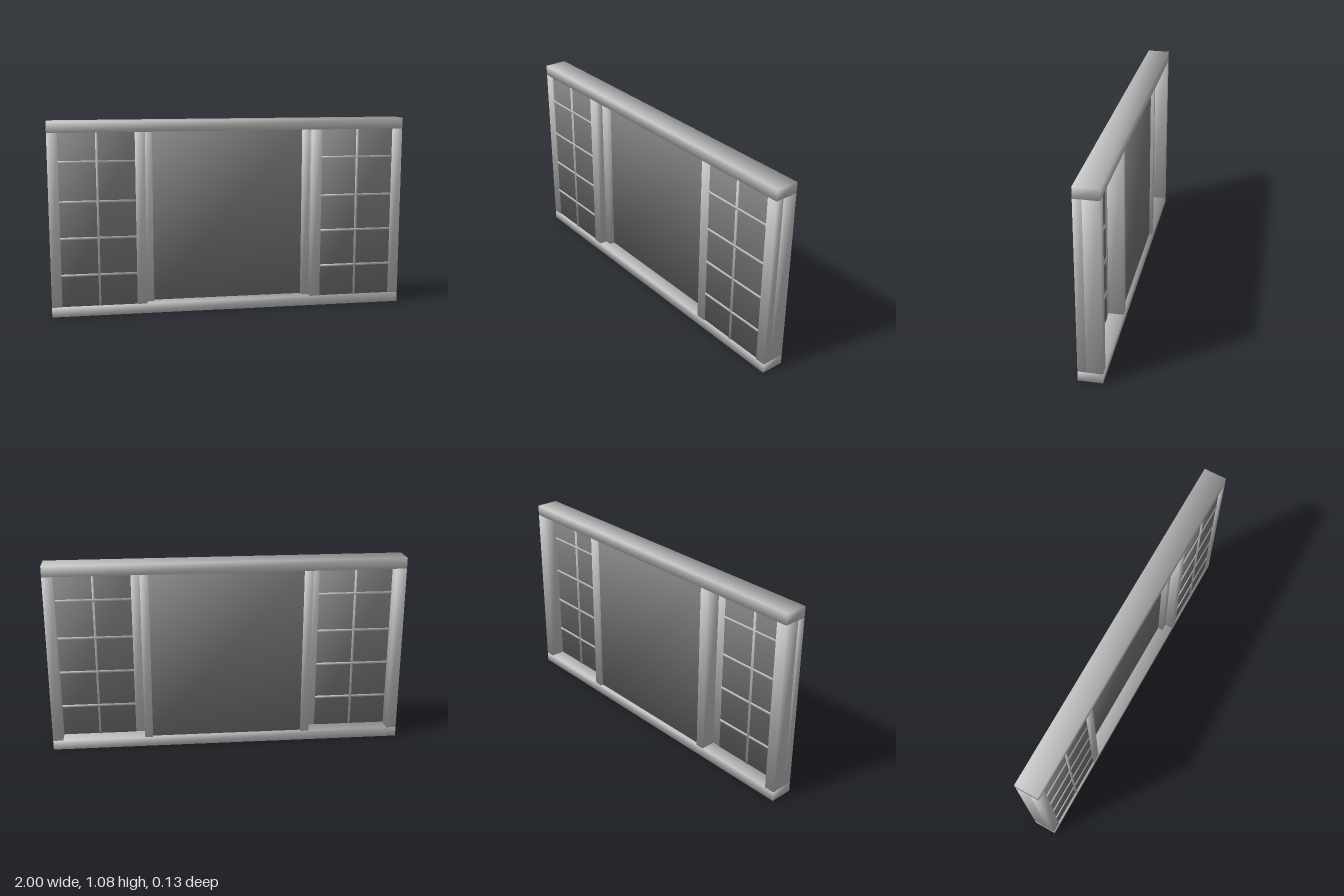
import * as THREE from 'three';

const frameMat = new THREE.MeshStandardMaterial({ color: 0xcccccc });
const glassMat = new THREE.MeshStandardMaterial({ color: 0x808080 });

// Box from min/max corners, with softened normals shared at the corners
function bar(parent, name, [x0, x1], [y0, y1], [z0, z1], mat = frameMat) {
  const geo = new THREE.BoxGeometry(x1 - x0, y1 - y0, z1 - z0);
  const pos = geo.attributes.position;
  const n = new THREE.Vector3();
  for (let i = 0; i < pos.count; i++) {
    n.set(Math.sign(pos.getX(i)), Math.sign(pos.getY(i)), Math.sign(pos.getZ(i))).normalize();
    geo.attributes.normal.setXYZ(i, n.x, n.y, n.z);
  }
  const mesh = new THREE.Mesh(geo, mat);
  mesh.name = name;
  mesh.position.set((x0 + x1) / 2, (y0 + y1) / 2, (z0 + z1) / 2);
  parent.add(mesh);
}

export function createModel() {
  const model = new THREE.Group();
  model.name = 'window';
  const inner = [0.055, 1.02];      // opening height
  const front = [0.02, 0.065];      // depth of the side sashes
  const back = [-0.065, 0.02];      // depth of the centre sash

  // Top and bottom rails
  bar(model, 'topRail', [-1, 1], [1.02, 1.08], [-0.065, 0.065]);
  bar(model, 'bottomRail', [-1, 1], [0, 0.055], [-0.065, 0.065]);

  // Fixed centre pane
  bar(model, 'centreGlass', [-0.43, 0.43], inner, [-0.048, -0.01], glassMat);

  for (const side of [-1, 1]) {
    const group = new THREE.Group();
    group.name = side > 0 ? 'leftSide' : 'rightSide';
    const span = (a, b) => (side > 0 ? [a, b] : [-b, -a]);

    // Outer post in two layers, and the pair of staggered stiles
    bar(group, 'outerPostFront', span(0.943, 1), inner, front);
    bar(group, 'outerPostBack', span(0.943, 1), inner, back);
    bar(group, 'sashStile', span(0.472, 0.527), inner, front);
    bar(group, 'centreStile', span(0.43, 0.477), inner, back);

    // Side pane with its glazing bars
    bar(group, 'sideGlass', span(0.527, 0.943), inner, [0.018, 0.058], glassMat);
    const barDepth = [0.012, 0.064];
    bar(group, 'verticalGlazingBar', span(0.729, 0.741), inner, barDepth);
    for (const y of [0.233, 0.44, 0.643, 0.862]) {
      bar(group, 'horizontalGlazingBar', span(0.527, 0.943), [y - 0.006, y + 0.006], barDepth);
    }
    model.add(group);
  }
  return model;
}
